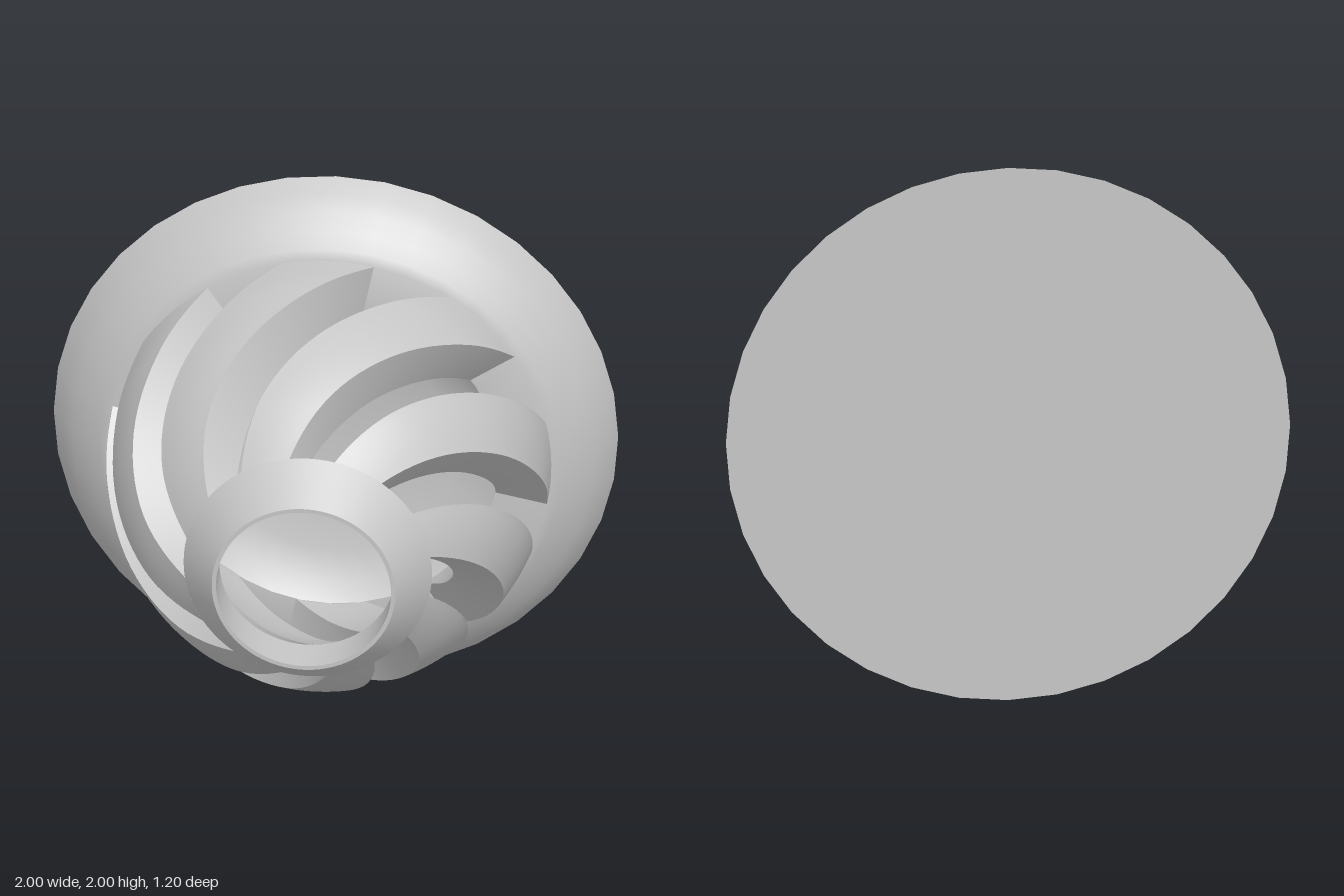
import * as THREE from 'three';
import { toCreasedNormals } from 'three/addons/utils/BufferGeometryUtils.js';

const RIBS = 8;
const Z_BACK = -0.37, Z_FRONT = 0.44;
const rad = THREE.MathUtils.degToRad;

// Solid of revolution about the z axis, from [radius, z] pairs
function turned(profile, sides, crease = 0.6) {
  const g = new THREE.LatheGeometry(profile.map(([r, z]) => new THREE.Vector2(r, z)), sides);
  g.rotateX(Math.PI / 2);
  return toCreasedNormals(g, crease);
}

// Outer and inner bowl curves, as (radius, z)
const curve = (pts) => new THREE.SplineCurve(pts.map(([r, z]) => new THREE.Vector2(r, z)));
const outer = curve([[0.785, Z_BACK], [0.773, -0.19], [0.715, 0.04], [0.605, 0.25], [0.44, Z_FRONT]]);
const inner = curve([[0.6, Z_BACK], [0.58, -0.19], [0.515, 0.04], [0.415, 0.25], [0.313, Z_FRONT]]);

// One twisted rib: rectangular section swept along the bowl curve
function ribGeometry() {
  const steps = 28, across = 9, width = rad(24), twist = rad(65);
  const pos = [], index = [], n = across * 2;
  for (let i = 0; i <= steps; i++) {
    const t = i / steps;
    const o = outer.getPoint(t), p = inner.getPoint(t);
    const turn = twist * (o.y - Z_BACK) / (Z_FRONT - Z_BACK);
    for (let j = 0; j < n; j++) {
      const onOuter = j < across;
      const k = onOuter ? j : n - 1 - j;
      const a = turn + width * k / (across - 1);
      const r = onOuter ? o.x : p.x;
      pos.push(r * Math.cos(a), r * Math.sin(a), o.y);
    }
  }
  for (let i = 0; i < steps; i++) {
    for (let j = 0; j < n; j++) {
      const a = i * n + j, b = i * n + (j + 1) % n;
      index.push(a, b, b + n, a, b + n, a + n);
    }
  }
  const g = new THREE.BufferGeometry();
  g.setAttribute('position', new THREE.Float32BufferAttribute(pos, 3));
  g.setIndex(index);
  return toCreasedNormals(g, 0.6);
}

export function createModel() {
  const model = new THREE.Group();
  model.name = 'spiralBowl';
  const grey = new THREE.MeshStandardMaterial({ color: 0xc6c6c6 });
  grey.name = 'grey';
  const add = (name, geometry) => {
    const mesh = new THREE.Mesh(geometry, grey);
    mesh.name = name;
    mesh.position.y = 1;
    model.add(mesh);
    return mesh;
  };

  // Flared base with a flat back and a dished floor
  add('base', turned([
    [0, -0.6], [1, -0.6], [0.965, -0.535], [0.925, -0.48], [0.87, -0.43],
    [0.82, -0.39], [0.785, Z_BACK], [0.6, Z_BACK], [0.54, -0.42], [0.43, -0.46], [0.25, -0.485], [0, -0.49],
  ], 36));

  // Open collar at the front
  add('collar', turned([
    [0.313, Z_FRONT], [0.44, Z_FRONT], [0.385, 0.515], [0.325, 0.6], [0.31, 0.6], [0.313, Z_FRONT],
  ], 120));

  // Eight twisted ribs joining base and collar
  const rib = ribGeometry();
  for (let i = 0; i < RIBS; i++) {
    add('rib', rib).rotation.z = rad(-11.5 + i * 360 / RIBS);
  }
  return model;
}
